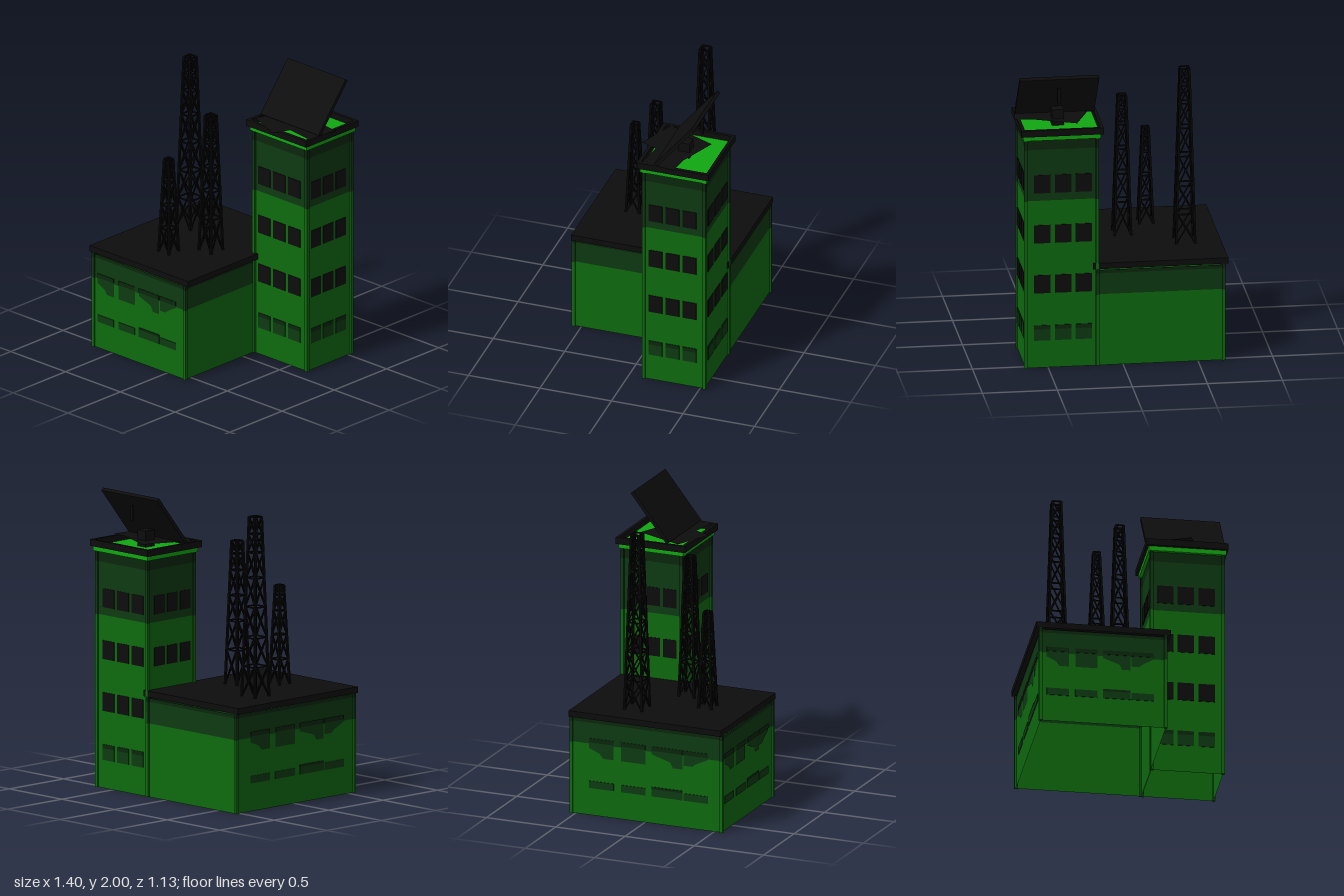
import * as THREE from 'three';
import { mergeGeometries } from 'three/addons/utils/BufferGeometryUtils.js';

const paint = (name, color) => {
  const m = new THREE.MeshStandardMaterial({ color, side: THREE.DoubleSide });
  m.name = name;
  return m;
};

export function createModel() {
  const root = new THREE.Group();
  const green = paint('wall green', 0x0e6b0f);
  const dark = paint('dark green', 0x0e3a12);
  const deep = paint('deep green', 0x0a270c);
  const bright = paint('bright green', 0x11a811);
  const black = paint('black', 0x0d0d0d);
  const steel = paint('steel black', 0x050505);

  const add = (parent, name, geometry, material) => {
    const mesh = new THREE.Mesh(geometry, material);
    mesh.name = name;
    parent.add(mesh);
    return mesh;
  };
  const group = (name, parent = root) => {
    const g = new THREE.Group();
    g.name = name;
    parent.add(g);
    return g;
  };
  // box given by its limits on each axis
  const span = (x0, x1, y0, y1, z0, z1) =>
    new THREE.BoxGeometry(x1 - x0, y1 - y0, z1 - z0)
      .translate((x0 + x1) / 2, (y0 + y1) / 2, (z0 + z1) / 2);

  // four walls without floor or ceiling
  const ring = (x0, x1, y0, y1, z0, z1) => {
    const g = new THREE.CylinderGeometry(Math.SQRT1_2, Math.SQRT1_2, 1, 4, 1, true)
      .rotateY(Math.PI / 4).scale(x1 - x0, y1 - y0, z1 - z0)
      .translate((x0 + x1) / 2, (y0 + y1) / 2, (z0 + z1) / 2).toNonIndexed();
    g.computeVertexNormals();
    return g;
  };

  // horizontal colour bands of wall with slim corner posts
  const walls = (parent, [x0, x1, z0, z1], bands, postTop) => {
    const r = 0.011;
    bands.forEach(([y0, y1, mat], i) => {
      add(parent, 'wallBand', ring(x0, x1, y0, y1, z0, z1), mat);
      const top = i === bands.length - 1 ? postTop : y1;
      const posts = [];
      for (const x of [x0, x1]) for (const z of [z0, z1])
        posts.push(span(x - r, x + r, y0, top, z - r, z + r));
      add(parent, 'cornerPosts', mergeGeometries(posts), mat);
    });
  };

  // local frame of a wall face, u along it and z outwards
  const face = (parent, name, x, z, angle) => {
    const g = group(name, parent);
    g.position.set(x, 0, z);
    g.rotation.y = angle;
    return g;
  };
  const pane = (parent, u0, u1, y0, y1, mat) =>
    add(parent, 'window', span(u0, u1, y0, y1, 0.002, 0.006), mat);

  // low block
  const hall = group('lowBlock');
  walls(hall, [-0.67, 0.166, -0.53, 0.552],
    [[0, 0.495, green], [0.495, 0.64, dark], [0.64, 0.664, deep]], 0.674);
  add(hall, 'flatRoof', span(-0.7, 0.2, 0.673, 0.714, -0.54, 0.56), black);

  // partly shaded hall windows, on the front and the right side
  const outlines = [
    [[-0.63, 0.53], [-0.63, 0.465], [-0.567, 0.434], [-0.545, 0.402], [-0.482, 0.402], [-0.482, 0.53]],
    [[-0.439, 0.535], [-0.439, 0.402], [-0.291, 0.402], [-0.291, 0.535]],
    [[-0.254, 0.535], [-0.254, 0.48], [-0.143, 0.439], [-0.127, 0.402], [-0.069, 0.402], [-0.069, 0.535]],
    [[-0.063, 0.535], [-0.063, 0.43], [-0.01, 0.43], [0.011, 0.45], [0.085, 0.492], [0.085, 0.535]],
  ];
  const hallWindows = (f, stretch) => {
    outlines.forEach((pts, i) => {
      const shape = new THREE.Shape(pts.map(([u, y]) => new THREE.Vector2((u + 0.27) * stretch, y)));
      add(f, 'window', new THREE.ShapeGeometry(shape).translate(0, 0, 0.004), dark);
      const a = (pts[0][0] + 0.27) * stretch;
      const b = (pts[pts.length - 1][0] + 0.27) * stretch;
      add(f, 'windowHead', span(a, b, 0.505, 0.535, 0.005, 0.008), deep);
      pane(f, a, b, 0.188, 0.238, dark);
      if (i === 2) pane(f, a, b, 0.238, 0.254, deep);
    });
  };
  hallWindows(face(hall, 'frontWindows', -0.27, 0.552, 0), 1);
  hallWindows(face(hall, 'sideWindows', -0.67, 0.03, -Math.PI / 2), 1.2);

  // tall block
  const tower = group('tallBlock');
  const [tx0, tx1, tz0, tz1] = [0.171, 0.649, -0.53, -0.106];
  walls(tower, [tx0, tx1, tz0, tz1],
    [[0, 1.165, green], [1.165, 1.52, dark], [1.52, 1.59, deep]], 1.59);
  const tcx = 0.4, tcz = -0.307;
  const sides = [
    ['frontWindows', tcx, tz1, 0, 1, 0],
    ['backWindows', tcx, tz0, Math.PI, 1, 0],
    ['leftWindows', tx1, tcz, Math.PI / 2, 0.86, 0],
    ['rightWindows', tx0, tcz, -Math.PI / 2, 0.86, 2],
  ];
  for (const [name, x, z, angle, k, firstRow] of sides) {
    const f = face(tower, name, x, z, angle);
    for (let row = firstRow; row < 4; row++) for (const c of [-0.138, 0, 0.138]) {
      const a = (c - 0.055) * k, b = (c + 0.055) * k;
      if (row === 0) {
        pane(f, a, b, 0.19, 0.268, dark);
        pane(f, a, b, 0.268, 0.296, deep);
      } else {
        const y = 0.52 + (row - 1) * 0.349;
        pane(f, a, b, y, y + 0.126, black);
      }
    }
  }

  // tower roof: green slab inside a black parapet
  add(tower, 'roofSlab', span(0.15, 0.667, 1.59, 1.626, -0.55, -0.085), bright);
  const rim = [
    span(0.133, 0.68, 1.622, 1.667, -0.09, -0.066),
    span(0.133, 0.68, 1.622, 1.667, -0.566, -0.545),
    span(0.133, 0.155, 1.622, 1.667, -0.545, -0.09),
    span(0.656, 0.68, 1.622, 1.667, -0.545, -0.09),
  ];
  add(tower, 'parapet', mergeGeometries(rim), black);

  // tilted roof panel with its support
  const bottom = new THREE.Vector2(-0.195, 1.668), top = new THREE.Vector2(-0.455, 1.99);
  const panel = add(tower, 'tiltedPanel',
    new THREE.BoxGeometry(0.53, bottom.distanceTo(top), 0.024), black);
  panel.position.set(0.414, (bottom.y + top.y) / 2, (bottom.x + top.x) / 2);
  panel.rotation.x = -Math.atan2(bottom.x - top.x, top.y - bottom.y);
  add(tower, 'panelSupport', span(0.37, 0.45, 1.626, 1.735, -0.355, -0.275), black);
  add(tower, 'panelHandle', span(0.405, 0.425, 1.812, 1.91, -0.441, -0.427), black);

  // loose sheets lying on the parapet, placed by their front left corner
  for (const [x, z, w, d, angle, y] of [
    [0.423, -0.013, 0.29, 0.36, -0.4, 1.669], [0.667, -0.1, 0.32, 0.23, -0.14, 1.671]]) {
    const sheet = add(tower, 'looseSheet',
      new THREE.PlaneGeometry(w, d).rotateX(-Math.PI / 2).translate(-w / 2, 0, -d / 2), black);
    sheet.position.set(x, y, z);
    sheet.rotation.y = angle;
  }

  // square bar between two points
  const strut = (a, b, t) => {
    const dir = b.clone().sub(a);
    const q = new THREE.Quaternion()
      .setFromUnitVectors(new THREE.Vector3(0, 1, 0), dir.clone().normalize());
    const mid = a.clone().add(b).multiplyScalar(0.5);
    return new THREE.BoxGeometry(t, dir.length(), t)
      .applyQuaternion(q).translate(mid.x, mid.y, mid.z);
  };

  // tapering lattice masts with cross bracing
  const mast = (x, z, r0, r1, levels) => {
    const y0 = levels[0], y1 = levels[levels.length - 1];
    const corner = (y, i) => {
      const r = r0 + (r1 - r0) * (y - y0) / (y1 - y0);
      const a = Math.PI / 4 + i * Math.PI / 2;
      return new THREE.Vector3(x + Math.SQRT2 * r * Math.cos(a), y, z + Math.SQRT2 * r * Math.sin(a));
    };
    const bars = [];
    for (let i = 0; i < 4; i++) {
      bars.push(strut(corner(y0, i), corner(y1, i), 0.014));
      levels.forEach((y, n) => {
        if (n === 0) return;
        bars.push(strut(corner(y, i), corner(y, i + 1), 0.009));
        bars.push(strut(corner(levels[n - 1], i), corner(y, i + 1), 0.008));
        bars.push(strut(corner(levels[n - 1], i + 1), corner(y, i), 0.008));
      });
    }
    add(root, 'latticeMast', mergeGeometries(bars), steel);
  };
  mast(-0.46, -0.15, 0.064, 0.029, [0.71, 0.915, 1.11, 1.315, 1.51, 1.68, 1.805, 1.92]);
  mast(-0.07, 0.06, 0.056, 0.026, [0.71, 0.945, 1.14, 1.31, 1.48, 1.59, 1.677]);
  mast(-0.255, 0.27, 0.047, 0.02, [0.71, 0.88, 1.045, 1.205, 1.31, 1.375]);

  return root;
}
